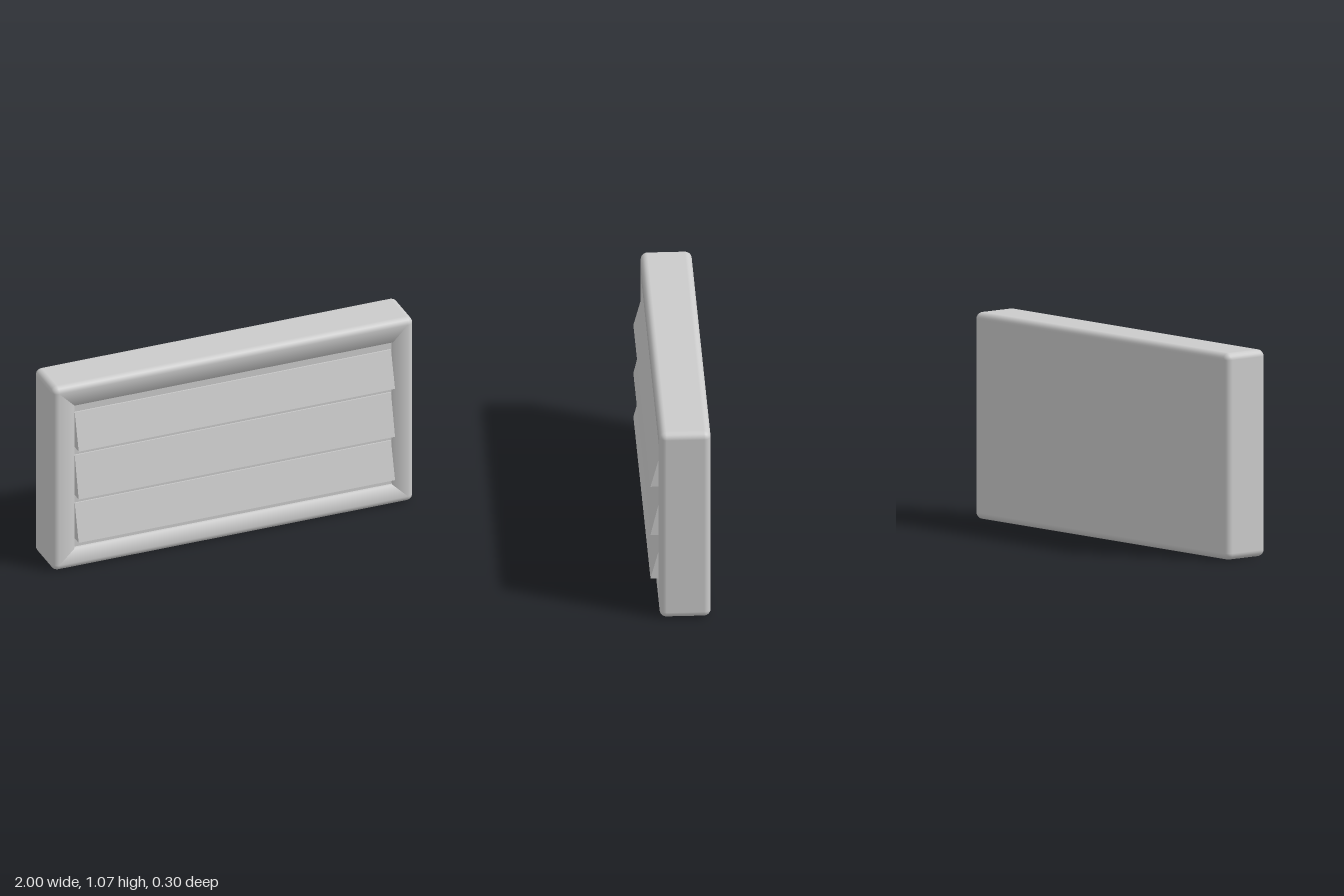
import * as THREE from 'three';

const W = 1, H = 0.535;          // half width and half height of the housing
const BACK = -0.152, FRONT = 0.11, FLOOR = 0.092;
const R = 0.035;                 // edge rounding
const LIP = 0.118;               // frame width
const STEPS = 6;

// Housing skin: rounded-rectangle rings from the back edge, over the sides and front frame, into the recess
function housingGeometry() {
  // ring = [inset, z, corner radius, outward normal, z normal]
  const rings = [];
  for (let i = 0; i <= STEPS; i++) {
    const a = (i / STEPS) * Math.PI / 2, s = Math.sin(a), c = Math.cos(a);
    rings.push([R * (1 - s), BACK + R * (1 - c), R * s, s, -c]);
  }
  for (let i = 0; i <= STEPS; i++) {
    const a = (i / STEPS) * Math.PI / 2, s = Math.sin(a), c = Math.cos(a);
    rings.push([R * (1 - c), FRONT - R * (1 - s), R * c, c, s]);
  }
  rings.push([LIP, FRONT, 0, -0.6, 0.8]);   // softly shaded inner lip
  rings.push([LIP, FLOOR, 0, -1, 0]);

  const pos = [], nor = [], index = [];
  const count = 4 * (STEPS + 1);
  for (const [inset, z, r, nr, nz] of rings) {
    for (let q = 0; q < 4; q++) {
      const sx = q === 0 || q === 3 ? 1 : -1, sy = q < 2 ? 1 : -1;
      for (let k = 0; k <= STEPS; k++) {
        const a = (q + k / STEPS) * Math.PI / 2, c = Math.cos(a), s = Math.sin(a);
        pos.push(sx * (W - inset - r) + r * c, sy * (H - inset - r) + r * s, z);
        nor.push(nr * c, nr * s, nz);
      }
    }
  }
  for (let i = 0; i < rings.length - 1; i++) {
    for (let j = 0; j < count; j++) {
      const a = i * count + j, b = i * count + (j + 1) % count;
      index.push(a, b, b + count, a, b + count, a + count);
    }
  }
  const g = new THREE.BufferGeometry();
  g.setAttribute('position', new THREE.Float32BufferAttribute(pos, 3));
  g.setAttribute('normal', new THREE.Float32BufferAttribute(nor, 3));
  g.setIndex(index);
  return g;
}

// Wedge-shaped slat, sloping outwards to a flat underside
function louverGeometry(bottom, top) {
  const shape = new THREE.Shape([
    new THREE.Vector2(0.085, bottom),
    new THREE.Vector2(0.152, bottom),
    new THREE.Vector2(0.098, top),
    new THREE.Vector2(0.085, top),
  ]);
  const length = 1.752;
  return new THREE.ExtrudeGeometry(shape, { depth: length, bevelEnabled: false })
    .rotateY(-Math.PI / 2)
    .translate(length / 2, 0, 0);
}

export function createModel() {
  const model = new THREE.Group();
  model.name = 'louveredVent';
  const material = new THREE.MeshStandardMaterial({ color: 0xcccccc });
  const add = (name, geometry) => {
    const mesh = new THREE.Mesh(geometry, material);
    mesh.name = name;
    model.add(mesh);
    return mesh;
  };

  add('housing', housingGeometry()).position.y = H;

  // Flat panels closing the back and the recess
  add('backPanel', new THREE.PlaneGeometry(2 * (W - R), 2 * (H - R)).rotateY(Math.PI))
    .position.set(0, H, BACK);
  add('recessPanel', new THREE.PlaneGeometry(2 * (W - LIP), 2 * (H - LIP)))
    .position.set(0, H, FLOOR);

  // Three slats: [bottom, top]
  [[0.17, 0.375], [0.423, 0.655], [0.703, 0.905]].forEach(([bottom, top], i) =>
    add(`louver${i + 1}`, louverGeometry(bottom, top)));

  return model;
}
